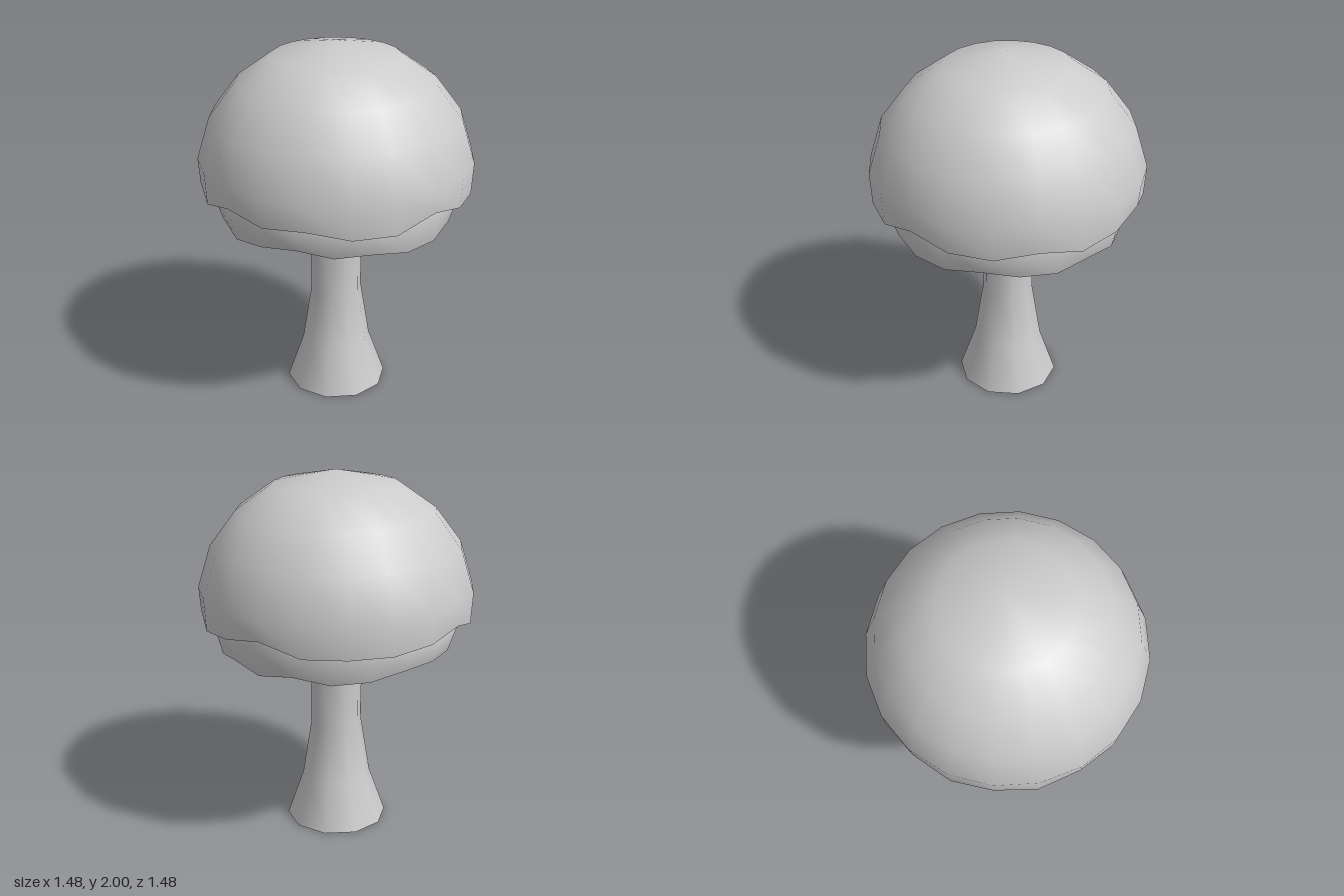
import * as THREE from 'three';
import { mergeVertices } from 'three/addons/utils/BufferGeometryUtils.js';

const material = new THREE.MeshStandardMaterial({ color: 0xcccccc, side: THREE.DoubleSide });

// Open surface of revolution, profile listed from bottom to top as [radius, y].
// The optional rim list gives the height of each vertex of the lowest ring.
function turned(name, profile, sides, startDegrees, rim) {
  const points = profile.map(([r, y]) => new THREE.Vector2(r, y));
  const lathe = new THREE.LatheGeometry(points, sides, THREE.MathUtils.degToRad(startDegrees));
  if (rim) {
    const position = lathe.attributes.position;
    for (let i = 0; i <= sides; i++) position.setY(i * points.length, rim[i % sides]);
  }
  // Weld the seam so that the shading stays smooth all round
  lathe.deleteAttribute('uv');
  lathe.deleteAttribute('normal');
  const geometry = mergeVertices(lathe, 1e-4);
  geometry.computeVertexNormals();
  const mesh = new THREE.Mesh(geometry, material);
  mesh.name = name;
  return mesh;
}

export function createModel() {
  const group = new THREE.Group();
  group.name = 'mushroom';

  // Outer cap with a wavy lower edge
  const dome = [[0.74, 1.38], [0.67, 1.605], [0.53, 1.79], [0.34, 1.925], [0, 2]];
  const capRim = [1.205, 1.205, 1.27, 1.22, 1.21, 1.245, 1.205, 1.23, 1.27, 1.21,
    1.21, 1.21, 1.23, 1.27, 1.21, 1.24, 1.21, 1.27, 1.23, 1.245];
  group.add(turned('cap', [[0.73, 1.21], ...dome], 20, 0, capRim));

  // Smaller dome nested under the cap
  const innerDome = dome.map(([r, y]) => [r * 0.905, 1.2 + (y - 1.38) * 0.9]);
  const innerRim = [1.06, 1.07, 1.04, 1.04, 1.07, 1.05, 1.04, 1.07, 1.04, 1.07,
    1.04, 1.05, 1.08, 1.08, 1.08, 1.06, 1.08, 1.04, 1.065, 1.09];
  group.add(turned('innerCap', [[0.63, 1.05], ...innerDome], 20, -7, innerRim));

  // Hollow stem, flared at the foot and again under the cap
  group.add(turned('stem',
    [[0.28, 0], [0.19, 0.26], [0.14, 0.58], [0.14, 1.0], [0.185, 1.38], [0.22, 1.62]], 10, 90));

  return group;
}
